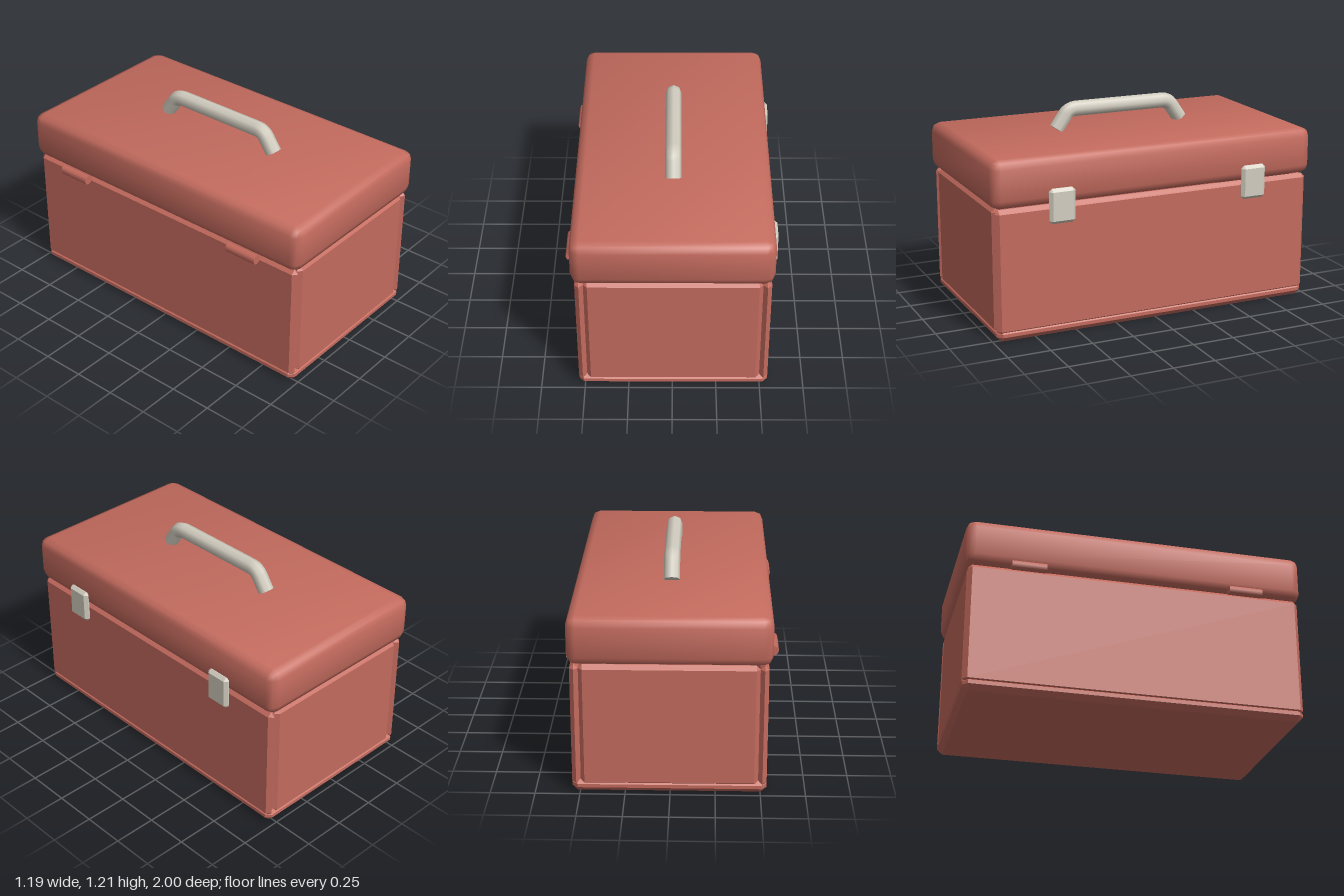
import * as THREE from 'three';

const red = new THREE.MeshStandardMaterial({ color: 0xc46b5e });
red.name = 'red paint';
const metal = new THREE.MeshStandardMaterial({ color: 0xd2cdc0 });
metal.name = 'pale metal';

// Box between two corners with bevelled edges: flat chamfers, or a soft rounded bevel
function bevelBox(name, min, max, r, material, soft = false) {
  let geo = new THREE.BoxGeometry(1, 1, 1, 3, 3, 3);
  const pos = geo.attributes.position;
  const inset = soft ? [0, 0, 0.293, 0.423] : [0, 0, 0.5, 0.667];
  for (let i = 0; i < pos.count; i++) {
    const p = [pos.getX(i), pos.getY(i), pos.getZ(i)];
    const outer = p.map((v) => Math.abs(v) > 0.4);
    const k = inset[outer.filter(Boolean).length];
    const q = p.map((v, a) => {
      const d = r * (outer[a] ? k : 1);
      return v > 0 ? max[a] - d : min[a] + d;
    });
    pos.setXYZ(i, ...q);
    if (soft) {
      const n = new THREE.Vector3(...p.map((v, a) => Math.sign(v) * (outer[a] ? 1 : 0.2))).normalize();
      geo.attributes.normal.setXYZ(i, n.x, n.y, n.z);
    }
  }
  if (!soft) {
    geo = geo.toNonIndexed();
    geo.computeVertexNormals();
  }
  const mesh = new THREE.Mesh(geo, material);
  mesh.name = name;
  return mesh;
}

// Bent carrying handle with closed ends
function makeHandle() {
  const handle = new THREE.Group();
  handle.name = 'handle';
  const v = (z, y) => new THREE.Vector3(0.004, y, z);
  const path = new THREE.CurvePath();
  path.add(new THREE.LineCurve3(v(0.4, 1.053), v(0.345, 1.132)));
  path.add(new THREE.QuadraticBezierCurve3(v(0.345, 1.132), v(0.322, 1.165), v(0.28, 1.165)));
  path.add(new THREE.LineCurve3(v(0.28, 1.165), v(-0.28, 1.165)));
  path.add(new THREE.QuadraticBezierCurve3(v(-0.28, 1.165), v(-0.322, 1.165), v(-0.345, 1.132)));
  path.add(new THREE.LineCurve3(v(-0.345, 1.132), v(-0.4, 1.053)));
  const bar = new THREE.Mesh(new THREE.TubeGeometry(path, 48, 0.046, 8), metal);
  bar.name = 'handleBar';
  handle.add(bar);
  for (const s of [1, -1]) {
    const cap = new THREE.Mesh(new THREE.CircleGeometry(0.046, 8), metal);
    cap.name = 'handleEnd';
    cap.position.copy(v(0.4 * s, 1.053));
    cap.lookAt(v(0.455 * s, 0.974));
    handle.add(cap);
  }
  return handle;
}

export function createModel() {
  const model = new THREE.Group();
  model.name = 'toolbox';

  // Box: floor and four bevelled wall panels
  model.add(bevelBox('floor', [-0.535, 0, -0.98], [0.545, 0.08, 0.98], 0.03, red));
  for (const s of [1, -1]) {
    const cx = 0.005 + 0.516 * s;
    const cz = 0.955 * s;
    model.add(bevelBox(s > 0 ? 'leftWall' : 'rightWall',
      [cx - 0.024, 0.04, -0.98], [cx + 0.024, 0.765, 0.98], 0.0238, red));
    model.add(bevelBox(s > 0 ? 'frontWall' : 'backWall',
      [-0.489, 0.04, cz - 0.024], [0.499, 0.765, cz + 0.024], 0.0238, red));
  }

  // Lid
  model.add(bevelBox('lid', [-0.555, 0.765, -1], [0.56, 1.042, 1], 0.052, red, true));

  // Latches on the left side, hinge barrels on the right side
  for (const s of [1, -1]) {
    const z = 0.6 * s;
    model.add(bevelBox('latch', [0.55, 0.662, z - 0.078], [0.591, 0.863, z + 0.078], 0.018, metal));
    const hinge = new THREE.Mesh(new THREE.CylinderGeometry(0.028, 0.028, 0.2, 8), red);
    hinge.name = 'hinge';
    hinge.rotation.x = Math.PI / 2;
    hinge.position.set(-0.567, 0.762, 0.64 * s);
    model.add(hinge);
  }

  model.add(makeHandle());
  return model;
}
